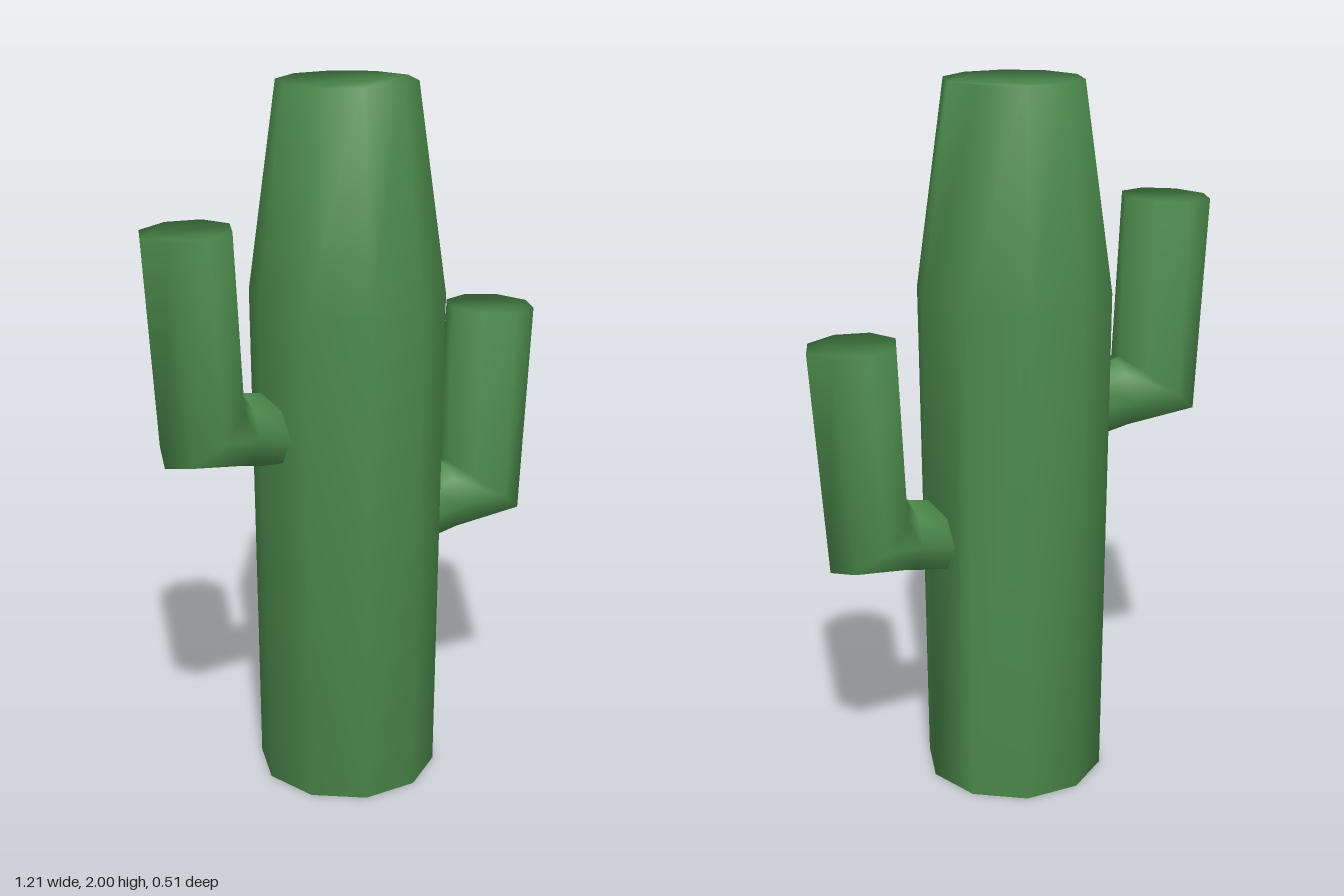
import * as THREE from 'three';

// Skin a tube over rings, with end caps that share the ring vertices so shading stays soft.
// Each ring is [outerX, outerY, innerX, innerY, halfDepth].
function loft(rings, sides) {
  const pos = [], index = [];
  for (const [ox, oy, ix, iy, depth] of rings) {
    for (let j = 0; j < sides; j++) {
      const a = (j / sides) * Math.PI * 2;
      const c = Math.cos(a) / 2;
      pos.push((ox + ix) / 2 + (ox - ix) * c, (oy + iy) / 2 + (oy - iy) * c, -depth * Math.sin(a));
    }
  }
  const last = (rings.length - 1) * sides;
  for (let i = 0; i < last; i += sides) {
    for (let j = 0; j < sides; j++) {
      const k = (j + 1) % sides;
      index.push(i + j, i + k, i + sides + k, i + j, i + sides + k, i + sides + j);
    }
  }
  for (let j = 1; j < sides - 1; j++) {
    index.push(0, j + 1, j, last, last + j, last + j + 1);
  }
  const geo = new THREE.BufferGeometry();
  geo.setAttribute('position', new THREE.Float32BufferAttribute(pos, 3));
  geo.setIndex(index);
  geo.computeVertexNormals();
  return geo;
}

export function createModel() {
  const group = new THREE.Group();
  group.name = 'cactus';
  const green = new THREE.MeshStandardMaterial({ color: 0x4c8a4c });
  green.name = 'cactus green';

  const add = (name, geo) => {
    const mesh = new THREE.Mesh(geo, green);
    mesh.name = name;
    group.add(mesh);
    return mesh;
  };

  // Ten-sided trunk, widest below the tapered head
  const level = (y, r) => [r, y, -r, y, r];
  add('trunk', loft([level(0, 0.257), level(1.43, 0.27), level(2, 0.19)], 10));

  // Arm: short stub out of the trunk, mitred elbow, upright limb
  const armGeo = loft([
    [0.2, 0.64, 0.2, 0.85, 0.1],
    [0.33, 0.665, 0.325, 0.873, 0.1],
    [0.56, 0.7, 0.338, 0.877, 0.142],
    [0.605, 1.325, 0.352, 1.337, 0.127],
  ], 8);
  add('leftArm', armGeo);

  // Opposite arm, turned round and set higher
  const rightArm = add('rightArm', armGeo);
  rightArm.rotation.y = Math.PI;
  rightArm.position.y = 0.32;

  return group;
}
